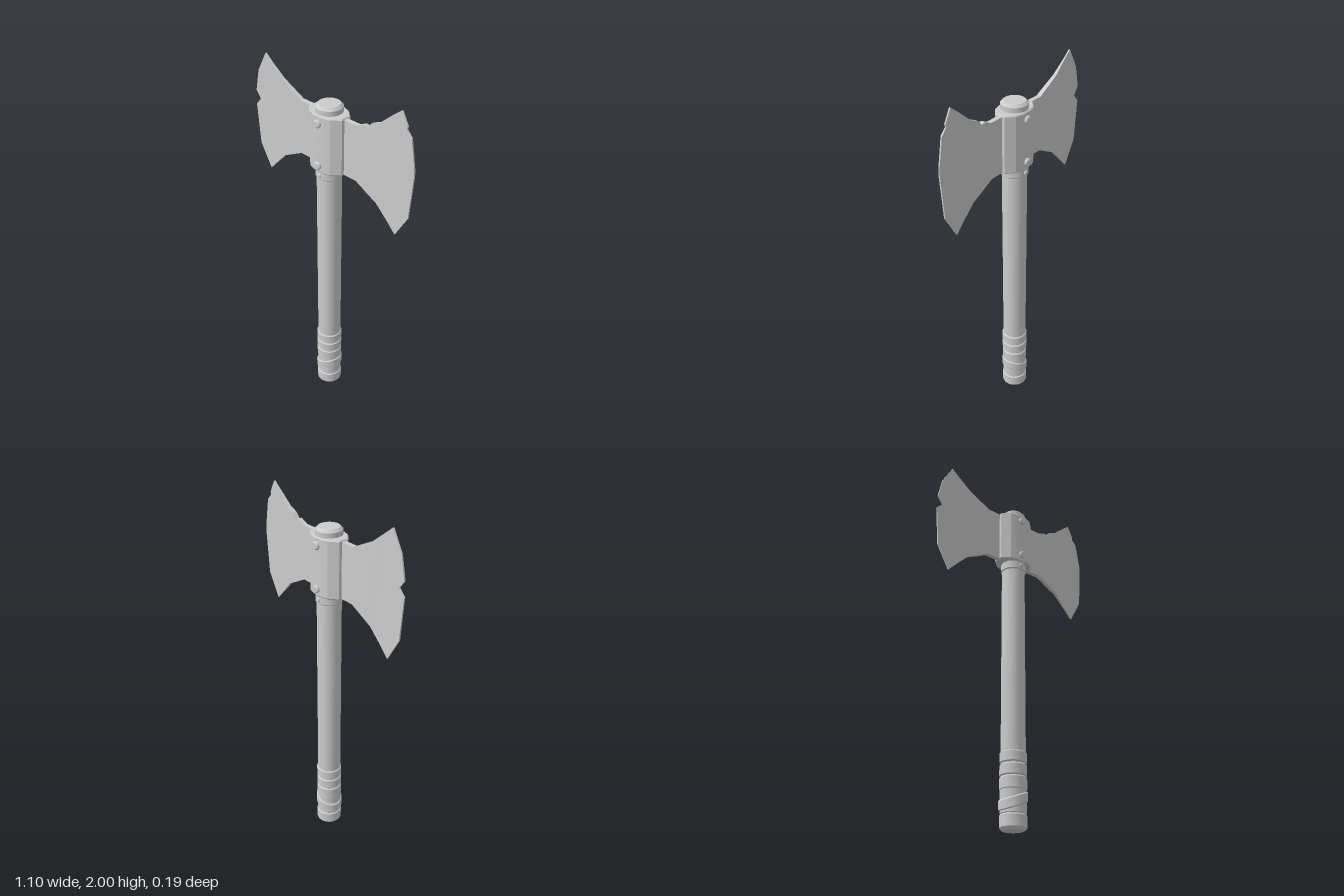
import * as THREE from 'three';
import { toCreasedNormals } from 'three/addons/utils/BufferGeometryUtils.js';

const SIDES = 24;

export function createModel() {
  const axe = new THREE.Group();
  axe.name = 'doubleAxe';
  const grey = new THREE.MeshStandardMaterial({ color: 0xcccccc });

  const add = (name, geometry, crease = 0.6, parent = axe) => {
    const mesh = new THREE.Mesh(toCreasedNormals(geometry, crease), grey);
    mesh.name = name;
    parent.add(mesh);
    return mesh;
  };

  // Closed band around the handle with a small bevel on both rims
  const band = (y0, y1, r, bevel = 0.006) => new THREE.LatheGeometry([
    [0, y0], [r - bevel, y0], [r, y0 + bevel], [r, y1 - bevel], [r - bevel, y1], [0, y1],
  ].map(([x, y]) => new THREE.Vector2(x, y)), SIDES);

  // Handle with rounded butt and top knob
  add('handle', new THREE.CylinderGeometry(0.066, 0.066, 1.82, SIDES).translate(0, 0.93, 0));
  add('buttCap', band(0, 0.085, 0.072, 0.013));
  add('topKnob', band(1.8, 1.88, 0.071, 0.014));
  add('neckRing', band(1.475, 1.53, 0.072));

  // Grip wraps, and one slanted strap below them
  [[0.2, 0.27], [0.272, 0.335], [0.34, 0.4]].forEach(([y0, y1], i) =>
    add('gripBand' + (i + 1), band(y0, y1, 0.072)));
  add('gripCore', band(0.08, 0.205, 0.069, 0.003));
  const strap = band(0.12, 0.177, 0.076);
  const p = strap.attributes.position;
  for (let i = 0; i < p.count; i++) p.setY(i, p.getY(i) + 0.38 * p.getX(i));
  add('slantedStrap', strap);

  // Faceted collar holding the blades
  const quarter = [[0.109, 0.026], [0.068, 0.062], [0.03, 0.074]];
  const back = [...quarter].reverse();
  const outline = [
    ...quarter,
    ...back.map(([x, z]) => [-x, z]),
    ...quarter.map(([x, z]) => [-x, -z]),
    ...back.map(([x, z]) => [x, -z]),
  ].map(([x, z]) => new THREE.Vector2(x, z));
  add('collar', new THREE.ExtrudeGeometry(new THREE.Shape(outline), {
    depth: 0.303, bevelEnabled: true, bevelThickness: 0.006, bevelSize: 0.005, bevelSegments: 1,
  }).rotateX(-Math.PI / 2).translate(0, 1.531, 0), 0.35);

  // Rivets on front and back
  const rivet = (r, z0, z1) => new THREE.LatheGeometry([
    [0, z0], [r, z0], [r, z1 - 0.005], [r * 0.72, z1], [0, z1],
  ].map(([x, y]) => new THREE.Vector2(x, y)), 12).rotateX(Math.PI / 2);
  for (const turn of [0, Math.PI]) {
    for (const [y, r, z0, z1] of [[1.797, 0.022, 0.06, 0.093], [1.565, 0.022, 0.06, 0.093], [1.5, 0.012, 0.06, 0.079]]) {
      add('rivet', rivet(r, z0, z1).rotateY(turn).translate(0, y, 0));
    }
  }

  // Tapering blade cheek through columns of [x, top, bottom, half thickness]
  const cheek = (columns) => {
    const pos = [], index = [];
    columns.forEach(([x, top, bottom, t], i) => {
      pos.push(x, top, t, x, top, -t, x, bottom, -t, x, bottom, t);
      if (i === 0) return;
      for (let j = 0; j < 4; j++) {
        const k = (j + 1) % 4, a = 4 * (i - 1), b = 4 * i;
        index.push(a + j, b + j, b + k, a + j, b + k, a + k);
      }
    });
    const g = new THREE.BufferGeometry();
    g.setAttribute('position', new THREE.Float32BufferAttribute(pos, 3));
    g.setIndex(index);
    return g;
  };
  // Thin cutting edge beyond the horns
  const edge = (points) => new THREE.ExtrudeGeometry(
    new THREE.Shape(points.map(([x, y]) => new THREE.Vector2(x, y))),
    { depth: 0.008, bevelEnabled: false }).translate(0, 0, -0.004);

  const blade = (name, columns, rim) => {
    const group = new THREE.Group();
    group.name = name;
    axe.add(group);
    add(name + 'Cheek', cheek(columns), 0.3, group);
    add(name + 'Edge', edge(rim), 0.3, group);
  };

  // Left blade, chipped along its upper side
  blade('leftBlade', [
    [0.08, 1.832, 1.53, 0.013], [0.195, 1.832, 1.53, 0.013], [0.24, 1.853, 1.507, 0.012],
    [0.257, 1.845, 1.497, 0.0115], [0.28, 1.872, 1.485, 0.011], [0.33, 1.895, 1.46, 0.0095],
    [0.41, 1.965, 1.377, 0.004], [0.455, 2, 1.33, 0.004],
  ], [
    [0.455, 2], [0.455, 1.33], [0.53, 1.46], [0.548, 1.7], [0.546, 1.735],
    [0.519, 1.885], [0.488, 1.917], [0.492, 1.932],
  ]);

  // Right blade, notched in its cutting edge
  blade('rightBlade', [
    [-0.455, 2, 1.33, 0.004], [-0.41, 1.964, 1.377, 0.004], [-0.33, 1.9, 1.46, 0.0095],
    [-0.195, 1.832, 1.53, 0.013], [-0.08, 1.832, 1.53, 0.013],
  ], [
    [-0.455, 2], [-0.518, 1.89], [-0.544, 1.77], [-0.512, 1.728],
    [-0.548, 1.69], [-0.53, 1.46], [-0.455, 1.33],
  ]);

  return axe;
}
